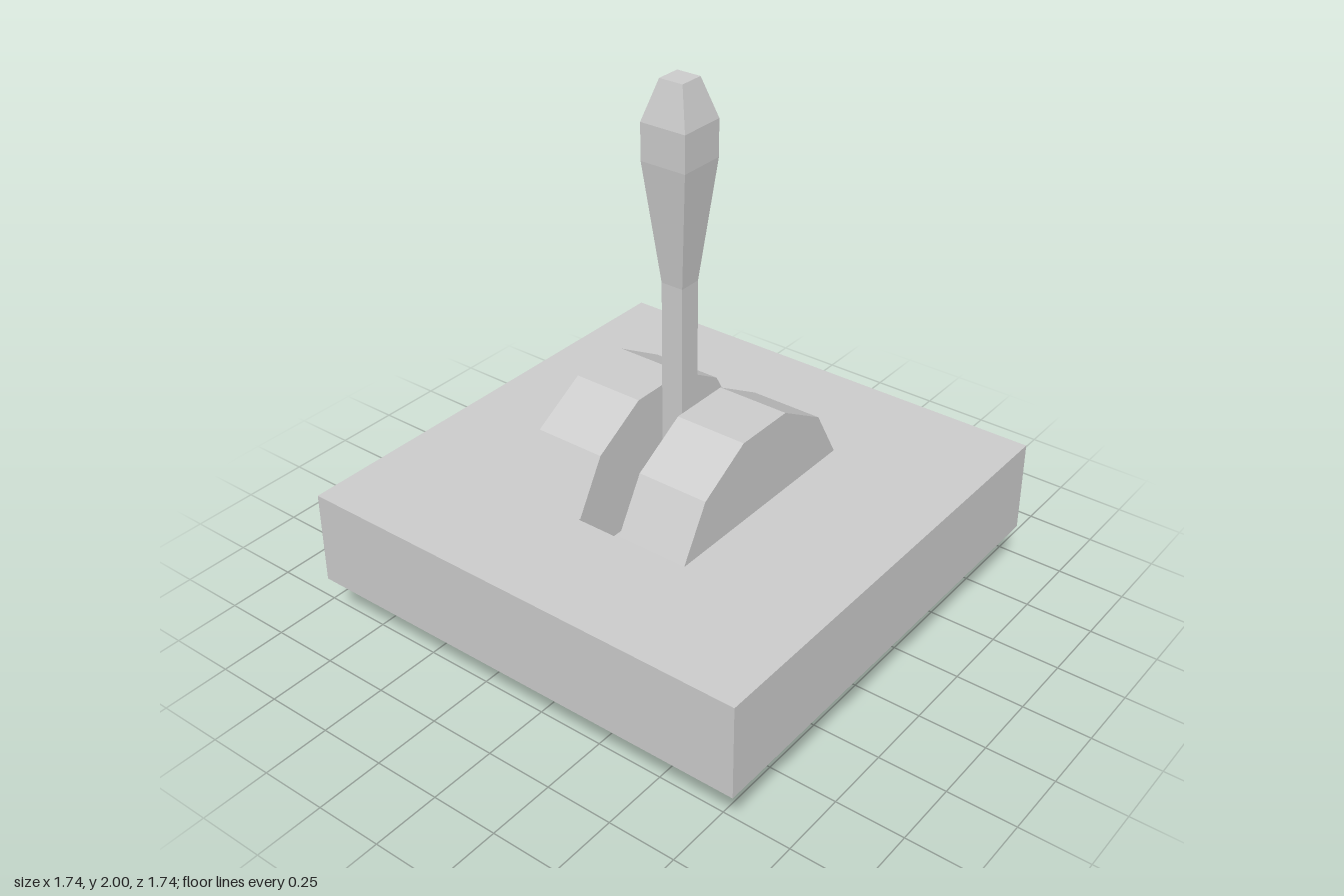
import * as THREE from 'three';

const material = new THREE.MeshStandardMaterial({ color: 0xcccccc, flatShading: true });

function addPart(group, geometry, name) {
  const mesh = new THREE.Mesh(geometry, material);
  mesh.name = name;
  group.add(mesh);
  return mesh;
}

function toShape(points) {
  return new THREE.Shape(points.map(([a, b]) => new THREE.Vector2(a, b)));
}

function rectangle(w, d) {
  return [[-w, -d], [w, -d], [w, d], [-w, d]];
}

// Extrudes a (z, y) outline across x, centred on x = 0
function extrudeAcross(points, width) {
  const geometry = new THREE.ExtrudeGeometry(toShape(points), { depth: width, bevelEnabled: false });
  return geometry.translate(0, 0, -width / 2).rotateY(-Math.PI / 2);
}

export function createModel() {
  const group = new THREE.Group();
  group.name = 'floorLever';
  const slot = 0.083, reach = 0.437, centreY = 0.4375;

  // Square base plate with a slot for the lever
  const plate = toShape(rectangle(0.87, 0.87));
  plate.holes.push(toShape(rectangle(slot, reach).reverse()));
  const plateGeometry = new THREE.ExtrudeGeometry(plate, { depth: 0.347, bevelEnabled: false });
  plateGeometry.rotateX(-Math.PI / 2).translate(0, 0.22, 0);
  addPart(group, plateGeometry, 'basePlate');

  // Twelve-sided guide discs on both sides of the slot
  const rim = [];
  for (let i = 0; i < 12; i++) {
    const a = (i + 0.5) * Math.PI / 6;
    rim.push([0.4525 * Math.cos(a), centreY + 0.4525 * Math.sin(a)]);
  }
  for (const side of [-1, 1]) {
    const disc = addPart(group, extrudeAcross(rim, 0.35 - slot), side > 0 ? 'leftGuideDisc' : 'rightGuideDisc');
    disc.position.x = side * (0.35 + slot) / 2;
  }

  // Sunken floor of the slot, with sloped ends and a raised lever root
  const half = [[0.12, 0.13], [0.35, 0.26], [reach, 0.41], [reach, 0.55], [0.35, 0.4], [0.125, 0.4], [0.05, 0.46]];
  const mirrored = half.map(([z, y]) => [-z, y]).reverse();
  addPart(group, extrudeAcross([...half, ...mirrored], 2 * slot), 'slotFloor');

  // Square lever with a swelling grip
  const profile = [[0.042, 0.42], [0.042, 1.3], [0.087, 1.73], [0.087, 1.86], [0.045, 2], [0, 2]]
    .map(([r, y]) => new THREE.Vector2(r * Math.SQRT2, y));
  addPart(group, new THREE.LatheGeometry(profile, 4, Math.PI / 4), 'lever');

  return group;
}
